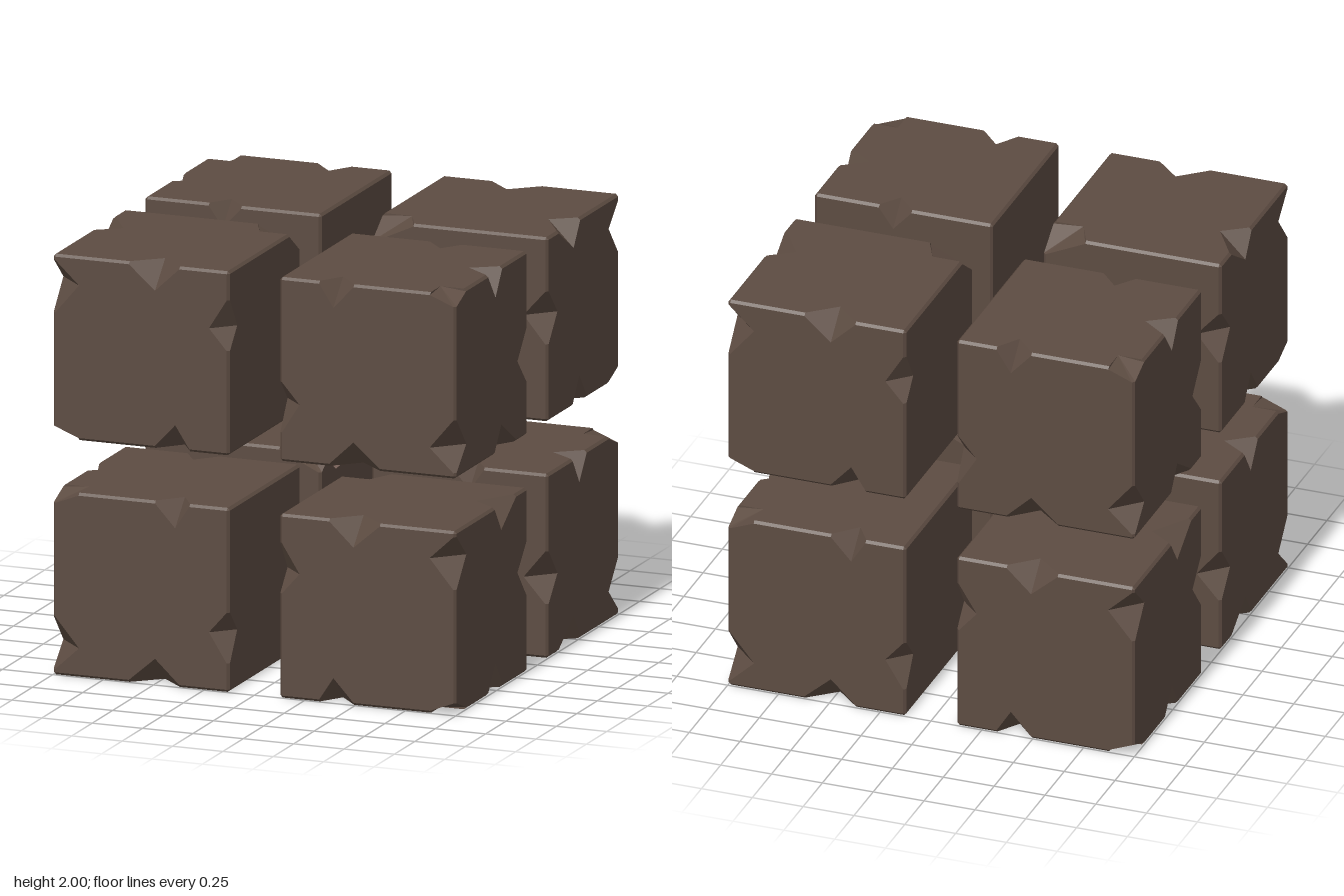
import * as THREE from 'three';

const H = 0.4375;    // half size of a block
const R = 0.012;     // bevel
const I = H - R;
const CENTRE = 0.5625;

// Edge chips, keyed by axis and the signs of the next two axes: [start, tip, end, depth]
const chips = {
  '0++': [-0.24, -0.17, -0.07, 0.12],
  '0-+': [-0.19, -0.07, 0.06, 0.125],
  '0+-': [-0.04, 0.05, 0.12, 0.11],
  '1++': [-0.41, -0.30, -0.16, 0.13],
  '1+-': [-0.30, -0.16, -0.06, 0.10],
  '1-+': [-0.18, -0.06, 0.07, 0.12],
  '2++': [-0.13, -0.05, 0.04, 0.13],
  '2+-': [-0.30, -0.12, -0.04, 0.125],
};
// Broken corners: where the break meets each edge, and its point on the horizontal face
const breaks = {
  '+++': { stop: [0.31, 0.38, 0.31], q: [0.31, 0.31] },
  '---': { stop: [-0.23, -0.335, -0.30], q: [-0.29, -0.30] },
};
const sg = (s) => (s > 0 ? '+' : '-');
const chipAt = (k, si, sj) => chips[k + sg(si) + sg(sj)];
const breakAt = (c) => breaks[c.map(sg).join('')];

// Point built from {axis: value} pairs
function point(...pairs) {
  const p = [0, 0, 0];
  pairs.forEach(([axis, value]) => { p[axis] = value; });
  return p;
}

function blockGeometry(flip) {
  const pos = [];
  const vec = (p) => new THREE.Vector3(p[0] * flip[0], p[1] * flip[1], p[2] * flip[2]);

  // Fan of triangles, each turned to face the outward direction
  function fan(points, outward) {
    const v = points.map(vec), out = vec(outward);
    for (let n = 1; n < v.length - 1; n++) {
      let [a, b, c] = [v[0], v[n], v[n + 1]];
      const normal = b.clone().sub(a).cross(c.clone().sub(a));
      if (normal.dot(out) < 0) [b, c] = [c, b];
      for (const p of [a, b, c]) pos.push(p.x, p.y, p.z);
    }
  }

  // Six flat faces with bites taken out of their outlines
  for (let f = 0; f < 3; f++) for (const s of [-1, 1]) {
    const u = (f + 1) % 3, v = (f + 2) % 3;
    const outline = [];
    const add = (a, b) => outline.push(new THREE.Vector2(a, b));
    const sides = [[u, -1, 1], [v, 1, 1], [u, 1, -1], [v, -1, -1]]; // along, fixed sign, direction
    for (const [along, fixed, dir] of sides) {
      const across = along === u ? v : u;
      const put = (t, w) => (along === u ? add(t, w) : add(w, t));
      const corner = point([f, s], [along, -dir], [across, fixed]);
      const broken = breakAt(corner);
      if (broken) {
        // across-edge stop, inner point, along-edge stop
        put(-dir * I, broken.stop[across]);
        if (f === 1) add(broken.q[1], broken.q[0]);
        put(broken.stop[along], fixed * I);
      } else put(-dir * I, fixed * I);
      const signs = point([f, s], [across, fixed]);
      const chip = chipAt(along, signs[(along + 1) % 3], signs[(along + 2) % 3]);
      if (chip) {
        const [a, m, b, d] = chip;
        put(dir > 0 ? a : b, fixed * I);
        put(m, fixed * (H - d));
        put(dir > 0 ? b : a, fixed * I);
      }
    }
    for (const t of THREE.ShapeUtils.triangulateShape(outline, [])) {
      fan(t.map((n) => point([f, s * H], [u, outline[n].x], [v, outline[n].y])), point([f, s]));
    }
  }

  // Twelve bevelled edges, with the walls of their chips
  for (let k = 0; k < 3; k++) for (const si of [-1, 1]) for (const sj of [-1, 1]) {
    const i = (k + 1) % 3, j = (k + 2) % 3;
    const onI = (t, w = I) => point([k, t], [i, si * H], [j, sj * w]);
    const onJ = (t, w = I) => point([k, t], [i, si * w], [j, sj * H]);
    const end = (dir) => {
      const broken = breakAt(point([k, dir], [i, si], [j, sj]));
      return broken ? broken.stop[k] : dir * I;
    };
    const strip = (a, b) => fan([onI(a), onI(b), onJ(b), onJ(a)], point([i, si], [j, sj]));
    const chip = chipAt(k, si, sj);
    if (!chip) { strip(end(-1), end(1)); continue; }
    const [a, m, b, d] = chip;
    strip(end(-1), a);
    strip(b, end(1));
    fan([onI(a), onI(m, H - d), onJ(m, H - d), onJ(a)], point([k, 1]));
    fan([onI(b), onI(m, H - d), onJ(m, H - d), onJ(b)], point([k, -1]));
  }

  // Eight corners, bevelled or broken
  for (const x of [-1, 1]) for (const y of [-1, 1]) for (const z of [-1, 1]) {
    const broken = breakAt([x, y, z]);
    if (broken) {
      const [px, py, pz] = broken.stop;
      fan([
        [broken.q[0], y * H, broken.q[1]],
        [px, y * H, z * I], [px, y * I, z * H],
        [x * I, py, z * H], [x * H, py, z * I],
        [x * H, y * I, pz], [x * I, y * H, pz],
      ], [x, y, z]);
    } else {
      fan([[x * H, y * I, z * I], [x * I, y * H, z * I], [x * I, y * I, z * H]], [x, y, z]);
    }
  }

  const geo = new THREE.BufferGeometry();
  geo.setAttribute('position', new THREE.Float32BufferAttribute(pos, 3));
  geo.computeVertexNormals();
  return geo;
}

export function createModel() {
  const stone = new THREE.MeshStandardMaterial({ color: 0x5d4c42 });
  stone.name = 'brown stone';
  const crystal = new THREE.MeshStandardMaterial({ color: 0xdcb4a6 });
  crystal.name = 'pale pink crystal';

  const model = new THREE.Group();
  model.name = 'splitStoneCube';

  // Eight chipped blocks; neighbours are turned over, the lower layer is mirrored
  for (const x of [-1, 1]) for (const y of [-1, 1]) for (const z of [-1, 1]) {
    const block = new THREE.Mesh(blockGeometry([x, x * y * z, z]), stone);
    block.name = `${y > 0 ? 'upper' : 'lower'}${z > 0 ? 'Front' : 'Back'}${x > 0 ? 'Left' : 'Right'}Block`;
    block.position.set(x * CENTRE, 1 + y * CENTRE, z * CENTRE);
    model.add(block);
  }

  // Floating core in the middle
  const core = new THREE.Mesh(new THREE.OctahedronGeometry(1).scale(0.175, 0.165, 0.178), crystal);
  core.name = 'coreCrystal';
  core.position.y = 1;
  model.add(core);

  return model;
}
